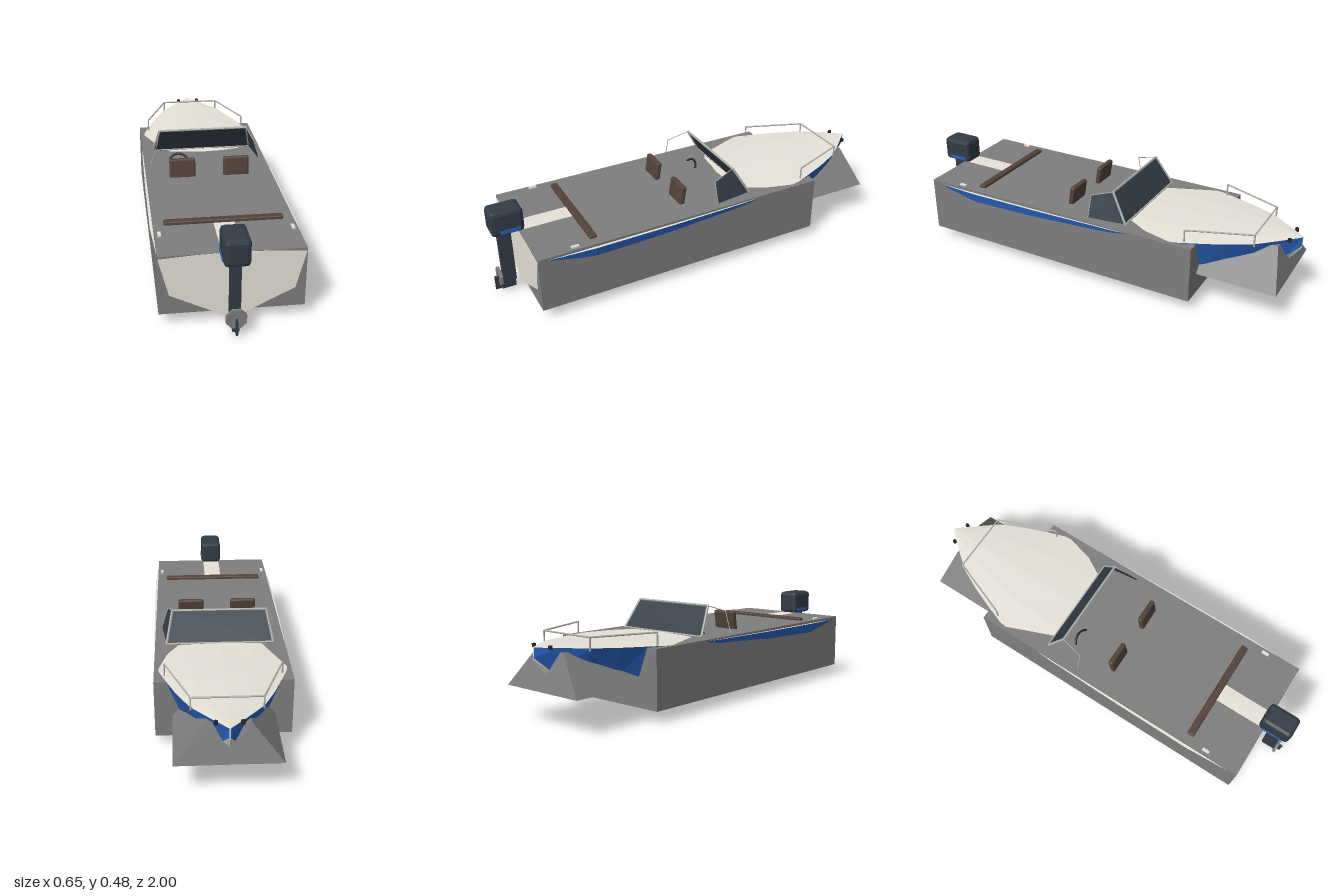
import * as THREE from 'three';
import { RoundedBoxGeometry } from 'three/addons/geometries/RoundedBoxGeometry.js';

const mat = (name, color, extra = {}) =>
  Object.assign(new THREE.MeshStandardMaterial({ color, flatShading: true, ...extra }), { name });

export function createModel() {
  const boat = new THREE.Group();
  boat.name = 'motorboat';
  const cream = mat('cream', 0xe6e2d8);
  const blue = mat('blue', 0x2a64c2);
  const grey = mat('grey', 0x7e7e7e);
  const charcoal = mat('charcoal', 0x323c46);
  const glass = mat('dark glass', 0x35404a, { side: THREE.DoubleSide });
  const brown = mat('brown', 0x54423a);
  const metal = mat('metal', 0xb0b0a9);
  const black = mat('black', 0x222426);

  const add = (name, geometry, material, x = 0, y = 0, z = 0, parent = boat) => {
    const mesh = new THREE.Mesh(geometry, material);
    mesh.name = name;
    mesh.position.set(x, y, z);
    parent.add(mesh);
    return mesh;
  };
  const box = (w, h, d) => new THREE.BoxGeometry(w, h, d);

  // Geometry from a list of counter-clockwise polygons
  const faces = (polygons) => {
    const pos = [];
    for (const p of polygons)
      for (let i = 1; i < p.length - 1; i++) pos.push(...p[0], ...p[i], ...p[i + 1]);
    const g = new THREE.BufferGeometry();
    g.setAttribute('position', new THREE.Float32BufferAttribute(pos, 3));
    g.computeVertexNormals();
    return g;
  };

  // Straight rod between two points
  const rod = (name, a, b, r, material, parent = boat) => {
    const from = new THREE.Vector3(...a), to = new THREE.Vector3(...b);
    const mesh = add(name, new THREE.CylinderGeometry(r, r, from.distanceTo(to), 6), material, 0, 0, 0, parent);
    mesh.position.copy(from).lerp(to, 0.5);
    mesh.quaternion.setFromUnitVectors(new THREE.Vector3(0, 1, 0), to.sub(from).normalize());
  };

  // Hull stations: z, gunwale x, gunwale y, deck centre y, chine x, chine y, keel y
  const stations = [
    [0.872, 0.308, 0.317, 0.331, 0.265, 0.145, 0.012],
    [0.6, 0.323, 0.317, 0.331, 0.277, 0.145, 0.0],
    [0.58, 0.323, 0.317, 0.327, 0.277, 0.145, 0.0],
    [0.2, 0.321, 0.318, 0.327, 0.272, 0.146, 0.009],
    [-0.18, 0.315, 0.322, 0.328, 0.262, 0.15, 0.018],
    [-0.24, 0.312, 0.323, 0.336, 0.255, 0.15, 0.02],
    [-0.5, 0.287, 0.331, 0.347, 0.225, 0.16, 0.045],
    [-0.59, 0.255, 0.335, 0.35, 0.19, 0.165, 0.058],
    [-0.7, 0.212, 0.339, 0.352, 0.135, 0.175, 0.095],
    [-0.82, 0.155, 0.345, 0.355, 0.08, 0.195, 0.14],
    [-0.93, 0.065, 0.351, 0.357, 0.03, 0.245, 0.205],
    [-1.0, 0.004, 0.355, 0.357, 0.002, 0.31, 0.3],
  ];
  const rings = stations.map(([z, gx, gy, dy, cx, cy, ky]) => [
    [0, ky, z], [cx, cy, z], [gx, gy, z], [gx / 2, gy + (dy - gy) * 0.75, z], [0, dy, z],
  ]);
  const flip = ([x, y, z]) => [-x, y, z];
  const strip = (j) => {
    const out = [];
    for (let i = 0; i < rings.length - 1; i++) {
      const a = rings[i], b = rings[i + 1];
      const q = [a[j], b[j], b[j + 1], a[j + 1]];
      out.push(q, q.map(flip).reverse());
    }
    return out;
  };
  const loop = (r) => [...r, ...r.slice(1, -1).reverse().map(flip)];
  add('hullBottom', faces(strip(0)), cream);
  add('hullSides', faces(strip(1)), blue);
  add('deck', faces([...strip(2), ...strip(3)]), cream);
  add('transom', faces([loop(rings[0])]), cream);
  add('stemCap', faces([loop(rings[rings.length - 1]).reverse()]), cream);

  // Plain block around the hull and a tapered block under the bow
  add('hullBlock', box(0.62, 0.275, 1.46), grey, 0, 0.1925, 0.14);
  const taper = box(0.46, 0.17, 0.45);
  const p = taper.attributes.position;
  for (let i = 0; i < p.count; i++)
    if (p.getY(i) > 0) p.setXYZ(i, p.getX(i) * 0.4, p.getY(i), p.getZ(i) < 0 ? -0.172 : 0.172);
  taper.computeVertexNormals();
  add('bowBlock', taper, grey, 0, 0.245, -0.745);

  // Windshield: raked front pane, right-hand frame and glazed left wing
  const shield = new THREE.Group();
  shield.name = 'windshield';
  boat.add(shield);
  const low = [0.255, 0.335, -0.233], top = [0.225, 0.472, -0.152];
  const rearLow = [0.278, 0.335, -0.045], rearTop = [0.246, 0.438, -0.045];
  add('frontPane', faces([[flip(low), low, top, flip(top)]]), glass, 0, 0, 0, shield);
  add('wingPane', faces([[rearLow, low, top, rearTop]]), glass, 0, 0, 0, shield);
  rod('topFrame', flip(top), top, 0.006, metal, shield);
  rod('bottomFrame', flip(low), low, 0.005, metal, shield);
  for (const m of [(v) => v, flip]) {
    rod('cornerFrame', m(low), m(top), 0.006, metal, shield);
    rod('wingTopFrame', m(top), m(rearTop), 0.002, metal, shield);
    rod('wingRearFrame', m(rearTop), m(rearLow), 0.002, metal, shield);
  }

  // Seats, bench and steering wheel
  for (const s of [-1, 1]) {
    const seat = add('seatBack', new RoundedBoxGeometry(0.127, 0.1, 0.026, 2, 0.01), brown, s * 0.132, 0.37, 0.098);
    seat.rotation.x = -0.15;
    add('cleat', box(0.014, 0.012, 0.036), cream, s * 0.288, 0.332, 0.69);
  }
  add('bench', new RoundedBoxGeometry(0.525, 0.03, 0.036, 2, 0.008), brown, 0, 0.33, 0.59);
  const wheel = add('steeringWheel', new THREE.TorusGeometry(0.05, 0.006, 6, 20), black, -0.132, 0.309, -0.108);
  wheel.rotation.x = -0.6;

  // Bow rail with four posts, and bow lights
  const rearEnd = [0.262, 0.392, -0.535], frontEnd = [0.152, 0.392, -0.825];
  rod('bowRailFront', flip(frontEnd), frontEnd, 0.004, metal);
  for (const m of [(v) => v, flip]) {
    rod('bowRailSide', m(rearEnd), m(frontEnd), 0.004, metal);
    for (const e of [rearEnd, frontEnd]) rod('railPost', m(e), m([e[0], 0.333, e[2]]), 0.004, metal);
    add('bowLight', new THREE.CylinderGeometry(0.009, 0.009, 0.016, 8), black, m([0.055, 0, 0])[0], 0.354, -0.955);
  }

  // Outboard motor
  const motor = new THREE.Group();
  motor.name = 'outboardMotor';
  boat.add(motor);
  add('cowl', new RoundedBoxGeometry(0.11, 0.122, 0.155, 1, 0.018), charcoal, 0, 0.388, 0.915, motor);
  add('cowlStripe', box(0.115, 0.018, 0.095), blue, 0, 0.348, 0.907, motor);
  add('leg', box(0.042, 0.285, 0.06), charcoal, 0, 0.195, 0.93, motor);
  add('gearcase', box(0.03, 0.07, 0.068), charcoal, 0, 0.048, 0.938, motor);
  const prop = add('propeller', new THREE.CylinderGeometry(0.047, 0.047, 0.012, 8), grey, 0, 0.08, 0.975, motor);
  prop.rotation.set(Math.PI / 2, Math.PI / 8, 0);
  add('skeg', box(0.009, 0.07, 0.07), charcoal, 0, 0.047, 0.965, motor);
  return boat;
}
